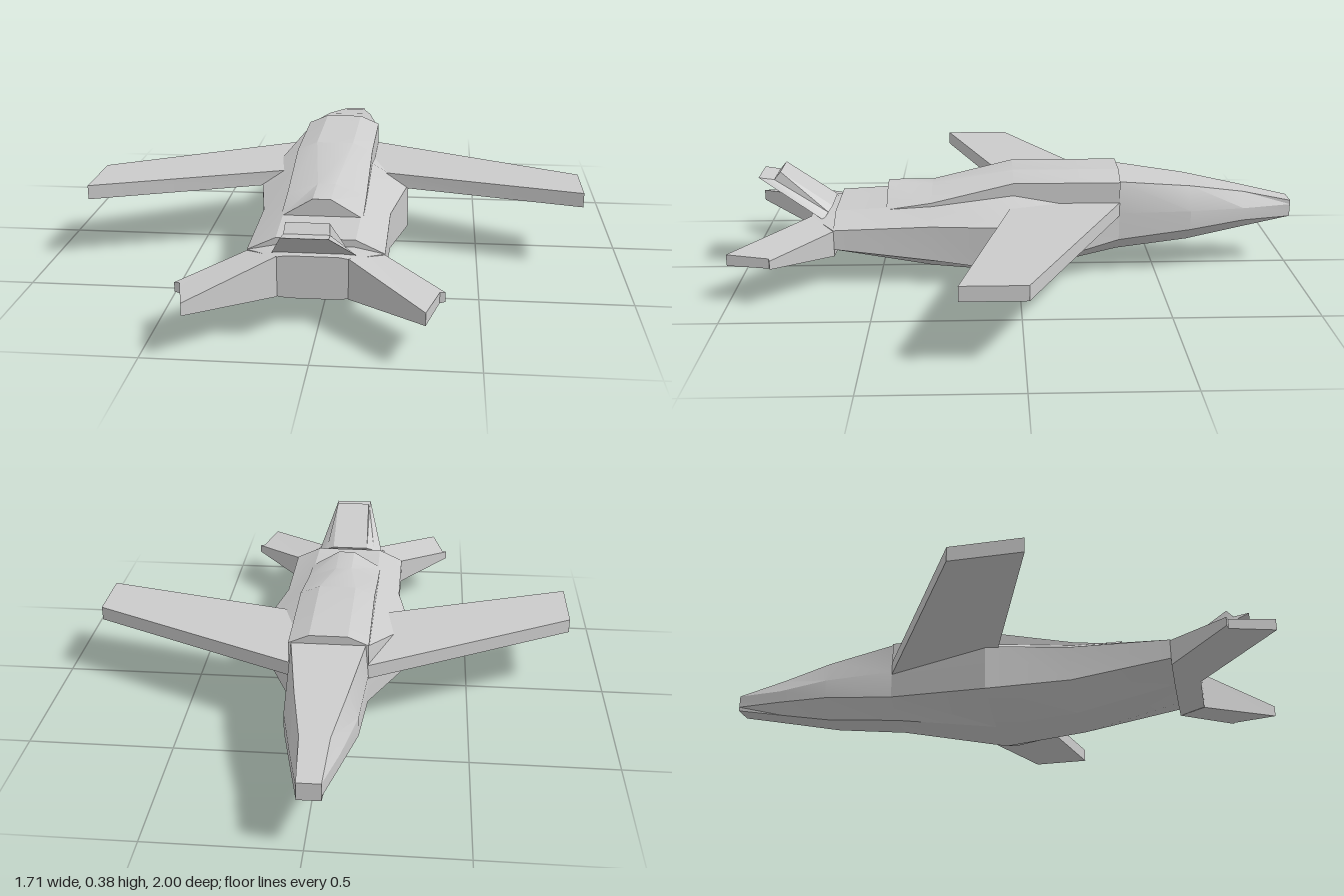
import * as THREE from 'three';
import { toCreasedNormals } from 'three/addons/utils/BufferGeometryUtils.js';

const material = new THREE.MeshStandardMaterial({ color: 0xcccccc });

// Skin a list of rings (each a list of [x, y, z]) and close both ends with strips.
function loft(name, rings, crease = 0.4) {
  const n = rings[0].length, last = (rings.length - 1) * n, index = [];
  for (let i = 0; i < rings.length - 1; i++) {
    for (let j = 0; j < n; j++) {
      const a = i * n + j, b = i * n + (j + 1) % n;
      index.push(a, a + n, b, b, a + n, b + n);
    }
  }
  for (let j = 0; j < n / 2 - 1; j++) {
    const a = j, b = j + 1, c = n - 2 - j, d = n - 1 - j;
    index.push(a, b, c, a, c, d);
    index.push(last + a, last + c, last + b, last + a, last + d, last + c);
  }
  const geometry = new THREE.BufferGeometry();
  geometry.setAttribute('position', new THREE.Float32BufferAttribute(rings.flat(2), 3));
  geometry.setIndex(index);
  const mesh = new THREE.Mesh(toCreasedNormals(geometry, crease), material);
  mesh.name = name;
  return mesh;
}

// Left-right symmetric ring from its +x half, listed top to bottom.
const symmetric = (half) => [...half, ...half.map(([x, y, z]) => [-x, y, z]).reverse()];
const section = (z, half) => symmetric(half.map(([x, y]) => [x, y, z]));

// Ring of a wing or fin: plan points [x, z, yLow, yHigh] from trailing to leading edge.
function blade(points, side) {
  const ring = [
    ...points.map(([x, z, , hi]) => [side * x, hi, z]),
    ...points.map(([x, z, lo]) => [side * x, lo, z]).reverse(),
  ];
  return side < 0 ? ring.reverse() : ring;
}

export function createModel() {
  const group = new THREE.Group();
  const craft = new THREE.Group();
  craft.name = 'aircraft';
  craft.position.x = -0.0175;
  group.add(craft);

  // Nose, tapering to a small blunt tip
  craft.add(loft('nose', [
    section(-1, [[0.0375, 0.25], [0.0375, 0.235], [0.0375, 0.205], [0.0375, 0.19]]),
    section(-0.82, [[0.048, 0.29], [0.078, 0.235], [0.078, 0.19], [0.042, 0.152]]),
    section(-0.62, [[0.085, 0.325], [0.12, 0.24], [0.12, 0.17], [0.05, 0.11]]),
    section(-0.36, [[0.125, 0.355], [0.135, 0.24], [0.135, 0.14], [0.06, 0.08]]),
  ]));

  // Main hull, widest just behind the wing roots
  craft.add(loft('hull', [
    section(-0.36, [[0.125, 0.35], [0.135, 0.24], [0.135, 0.14], [0.06, 0.08]]),
    section(0.02, [[0.135, 0.31], [0.267, 0.235], [0.267, 0.075], [0.092, 0.005]]),
    section(0.31, [[0.13, 0.275], [0.217, 0.225], [0.217, 0.1], [0.09, 0.032]]),
    section(0.65, [[0.125, 0.258], [0.217, 0.215], [0.217, 0.145], [0.08, 0.11]]),
  ]));

  // Raised spine along the back
  craft.add(loft('spine', [
    section(-0.36, [[0.065, 0.385], [0.135, 0.355], [0.135, 0.22]]),
    section(0.02, [[0.065, 0.385], [0.135, 0.355], [0.135, 0.22]]),
    section(0.31, [[0.03, 0.325], [0.135, 0.285], [0.135, 0.22]]),
    section(0.47, [[0.03, 0.325], [0.135, 0.262], [0.135, 0.22]]),
  ]));

  // Tail block joining the fins
  craft.add(loft('tailBlock', [
    section(0.65, [[0.12, 0.235], [0.217, 0.215], [0.217, 0.12], [0.08, 0.105]]),
    section(0.74, [[0.08, 0.235], [0.11, 0.23], [0.11, 0.1], [0.08, 0.095]]),
  ]));

  // Swept wings, the right one swept slightly further
  const wings = [
    { name: 'leftWing', side: 1, tip: 0.8725, lead: -0.01, trail: 0.2 },
    { name: 'rightWing', side: -1, tip: 0.8425, lead: 0.035, trail: 0.275 },
  ];
  for (const { name, side, tip, lead, trail } of wings) {
    craft.add(loft(name, [
      blade([[0, 0.02, 0.23, 0.28], [0, -0.36, 0.23, 0.28]], side),
      blade([[0.135, 0.02, 0.23, 0.28], [0.135, -0.36, 0.23, 0.28]], side),
      blade([[tip, trail, 0.23, 0.28], [tip, lead, 0.23, 0.28]], side),
    ]));
  }

  // Splayed tail fins with notched tips
  for (const side of [1, -1]) {
    craft.add(loft(side > 0 ? 'leftTailFin' : 'rightTailFin', [
      blade([[0.11, 0.74, 0.098, 0.232], [0.185, 0.676, 0.113, 0.218], [0.217, 0.65, 0.12, 0.212]], side),
      blade([[0.35, 0.995, 0.142, 0.182], [0.388, 0.845, 0.145, 0.18], [0.405, 0.84, 0.148, 0.178]], side),
    ]));
  }

  // Leaning upper fin with the same notched tip
  craft.add(loft('upperTailFin', [
    symmetric([[0.07, 0.257, 0.668], [0.1, 0.243, 0.68], [0.132, 0.225, 0.695]]),
    symmetric([[0.065, 0.385, 0.847], [0.068, 0.357, 0.87], [0.07, 0.365, 0.925]]),
  ]));

  return group;
}
